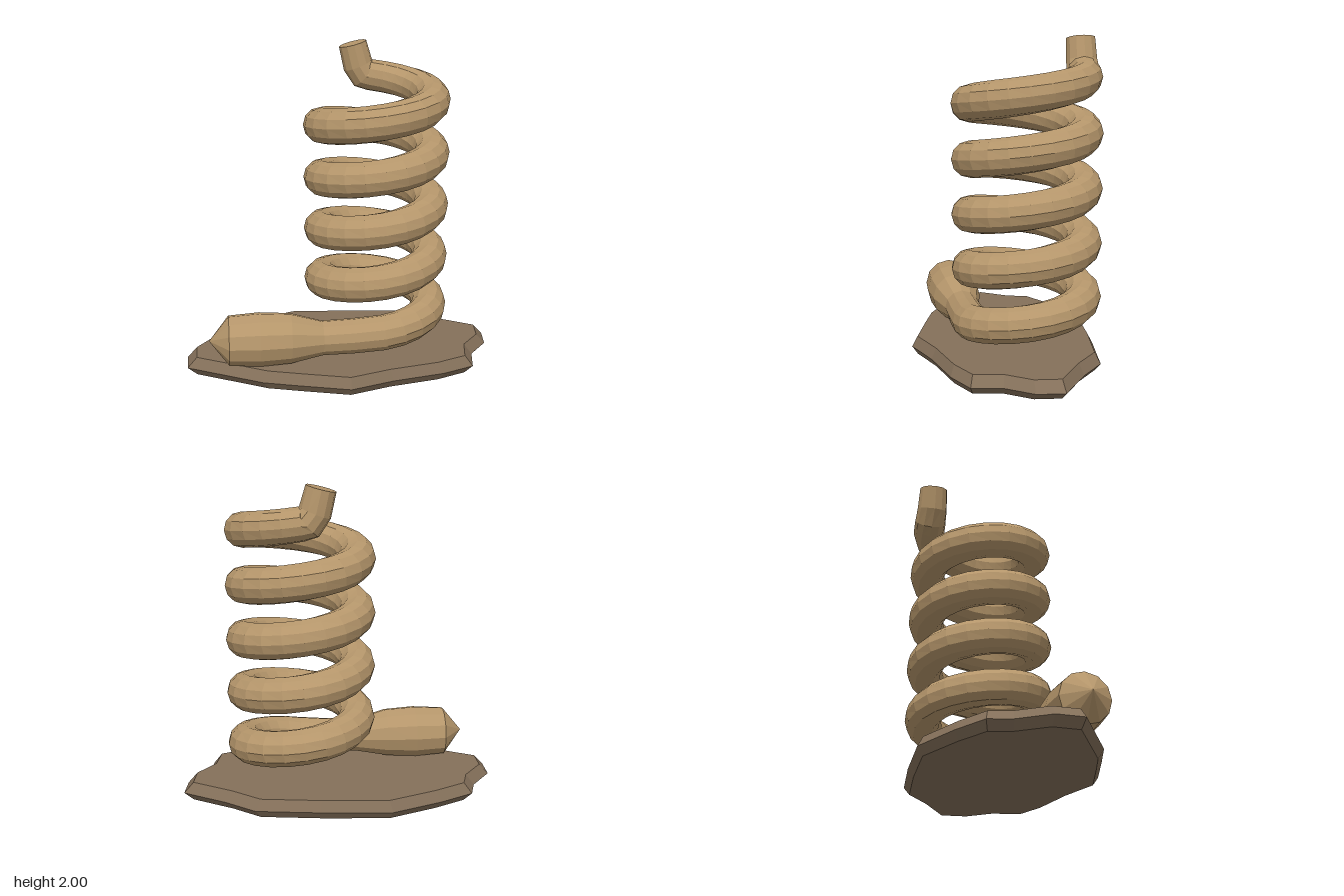
import * as THREE from 'three';

const SIDES = 12;

// Skins a list of closed rings (counter-clockwise around the travel direction) and caps both ends.
function loft(rings) {
  const n = rings[0].length, pos = [], index = [];
  rings.forEach(r => r.forEach(p => pos.push(p.x, p.y, p.z)));
  for (let k = 0; k < rings.length - 1; k++) {
    for (let i = 0; i < n; i++) {
      const j = (i + 1) % n, a = k * n, b = a + n;
      index.push(a + i, a + j, b + j, a + i, b + j, b + i);
    }
  }
  const cap = (ring, start, flip) => {
    const c = new THREE.Vector3();
    ring.forEach(p => c.addScaledVector(p, 1 / n));
    const m = pos.length / 3;
    pos.push(c.x, c.y, c.z);
    for (let i = 0; i < n; i++) {
      const j = (i + 1) % n;
      index.push(m, start + (flip ? j : i), start + (flip ? i : j));
    }
  };
  cap(rings[0], 0, true);
  cap(rings[rings.length - 1], (rings.length - 1) * n, false);
  const geo = new THREE.BufferGeometry();
  geo.setAttribute('position', new THREE.Float32BufferAttribute(pos, 3));
  geo.setIndex(index);
  geo.computeVertexNormals();
  return geo;
}

// Sweeps a round section of varying radius along [x, y, z, radius] stations.
function sweep(stations) {
  const pts = stations.map(s => new THREE.Vector3(s[0], s[1], s[2]));
  const up = new THREE.Vector3(0, 1, 0);
  return loft(pts.map((p, k) => {
    const t = pts[Math.min(k + 1, pts.length - 1)].clone().sub(pts[Math.max(k - 1, 0)]).normalize();
    const side = up.clone().cross(t).normalize();
    const nrm = t.clone().cross(side);
    return Array.from({ length: SIDES }, (_, i) => {
      const a = (i / SIDES) * Math.PI * 2, r = stations[k][3];
      return p.clone().addScaledVector(side, r * Math.cos(a)).addScaledVector(nrm, r * Math.sin(a));
    });
  }));
}

export function createModel() {
  const group = new THREE.Group();
  const add = (name, geo, color) => {
    const mesh = new THREE.Mesh(geo, new THREE.MeshStandardMaterial({ color, flatShading: true }));
    mesh.name = name;
    group.add(mesh);
  };

  // Swollen pointed end lying on the slab
  const stations = [
    [-0.84, 0.265, 0.245, 0.002],
    [-0.72, 0.263, 0.245, 0.155],
    [-0.53, 0.262, 0.245, 0.168],
    [-0.34, 0.26, 0.245, 0.156],
    [-0.14, 0.25, 0.24, 0.108],
    [0.05, 0.255, 0.243, 0.11],
  ];
  // Rising helix: four and a half turns from the front to the back
  const perTurn = 22, steps = Math.round(perTurn * 4.48);
  for (let i = 0; i <= steps; i++) {
    const t = (i / perTurn) * Math.PI * 2;
    stations.push([
      0.24 + 0.348 * Math.sin(t),
      0.268 + 0.335 * i / perTurn,
      -0.103 + 0.348 * Math.cos(t),
      0.111 - 0.01 * Math.max(0, (i - steps + 8) / 8),
    ]);
  }
  // Upturned cut end
  stations.push(
    [0.215, 1.775, -0.455, 0.1],
    [0.17, 1.84, -0.455, 0.097],
    [0.135, 1.978, -0.456, 0.09],
  );
  add('coil', sweep(stations), 0xb5966b);

  // Irregular slab with bevelled rim
  const outline = [
    [-0.28, -0.59], [0.15, -0.555], [0.54, -0.5], [0.72, -0.35], [0.98, -0.18], [0.96, -0.01],
    [0.835, 0.15], [0.8, 0.335], [0.6, 0.42], [0.27, 0.49], [0, 0.58], [-0.3, 0.49],
    [-0.52, 0.42], [-0.98, 0.15], [-0.98, -0.02], [-0.85, -0.2], [-0.81, -0.34], [-0.6, -0.455],
  ].reverse();
  const ring = (y, s) => outline.map(([x, z]) => new THREE.Vector3(x * s, y, z * s));
  add('baseSlab', loft([ring(0, 0.94), ring(0.05, 1), ring(0.115, 0.94)]), 0x84705a);

  return group;
}
